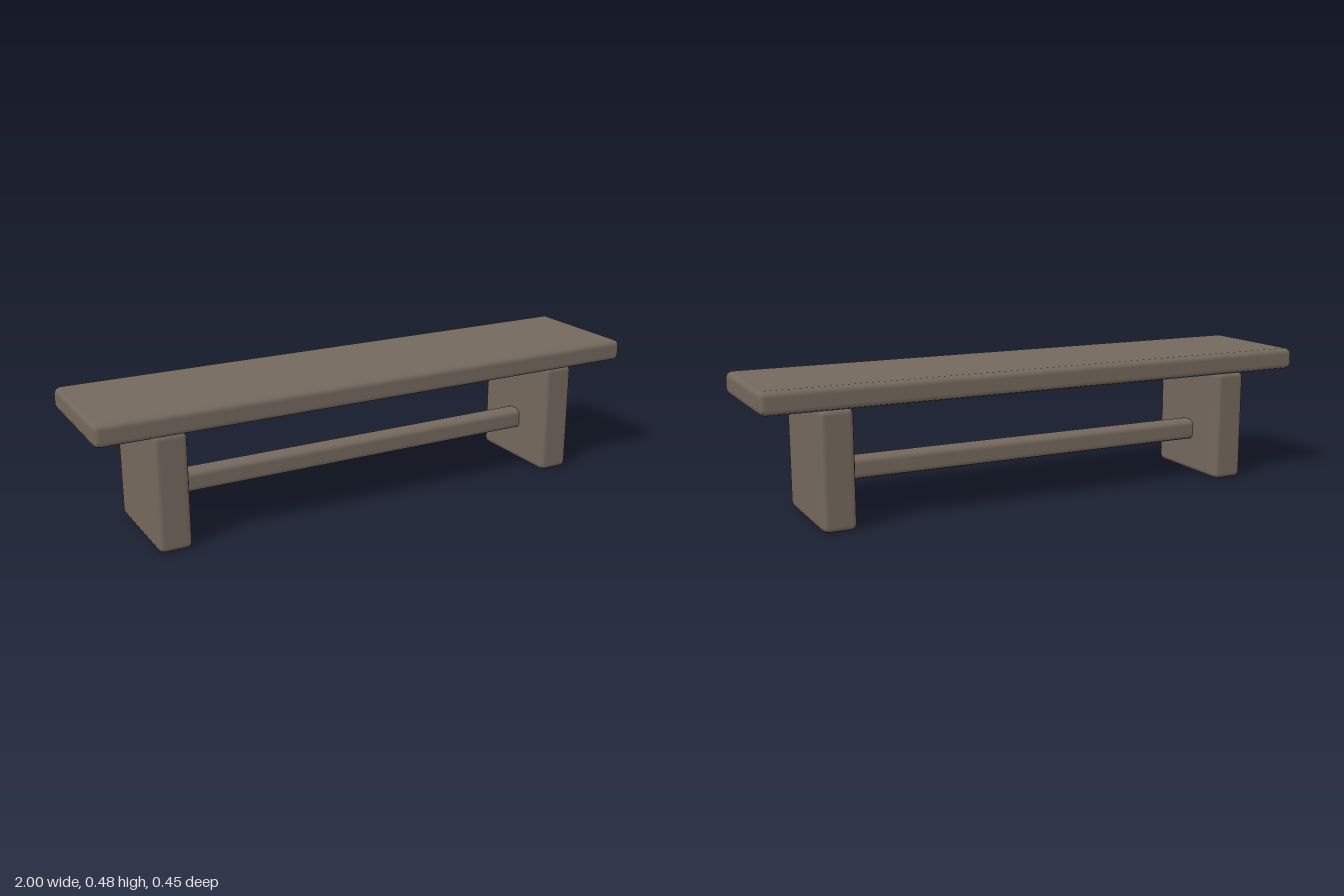
import * as THREE from 'three';
import { RoundedBoxGeometry } from 'three/addons/geometries/RoundedBoxGeometry.js';

const wood = new THREE.MeshStandardMaterial({ color: 0x75695e });
wood.name = 'brown wood';

// Plank with softly bevelled edges, resting at height y
function plank(name, w, h, d, x, y) {
  const mesh = new THREE.Mesh(new RoundedBoxGeometry(w, h, d, 1, 0.02), wood);
  mesh.name = name;
  mesh.position.set(x, y + h / 2, 0);
  return mesh;
}

export function createModel() {
  const bench = new THREE.Group();
  bench.name = 'bench';

  // Seat board
  bench.add(plank('seat', 2, 0.077, 0.45, 0, 0.401));

  // Slab legs
  for (const side of [-1, 1]) {
    bench.add(plank(side > 0 ? 'leftLeg' : 'rightLeg', 0.115, 0.4, 0.377, side * 0.75, 0));
  }

  // Stretcher, with its ends buried in the legs
  bench.add(plank('stretcher', 1.48, 0.075, 0.075, 0, 0.124));

  return bench;
}
